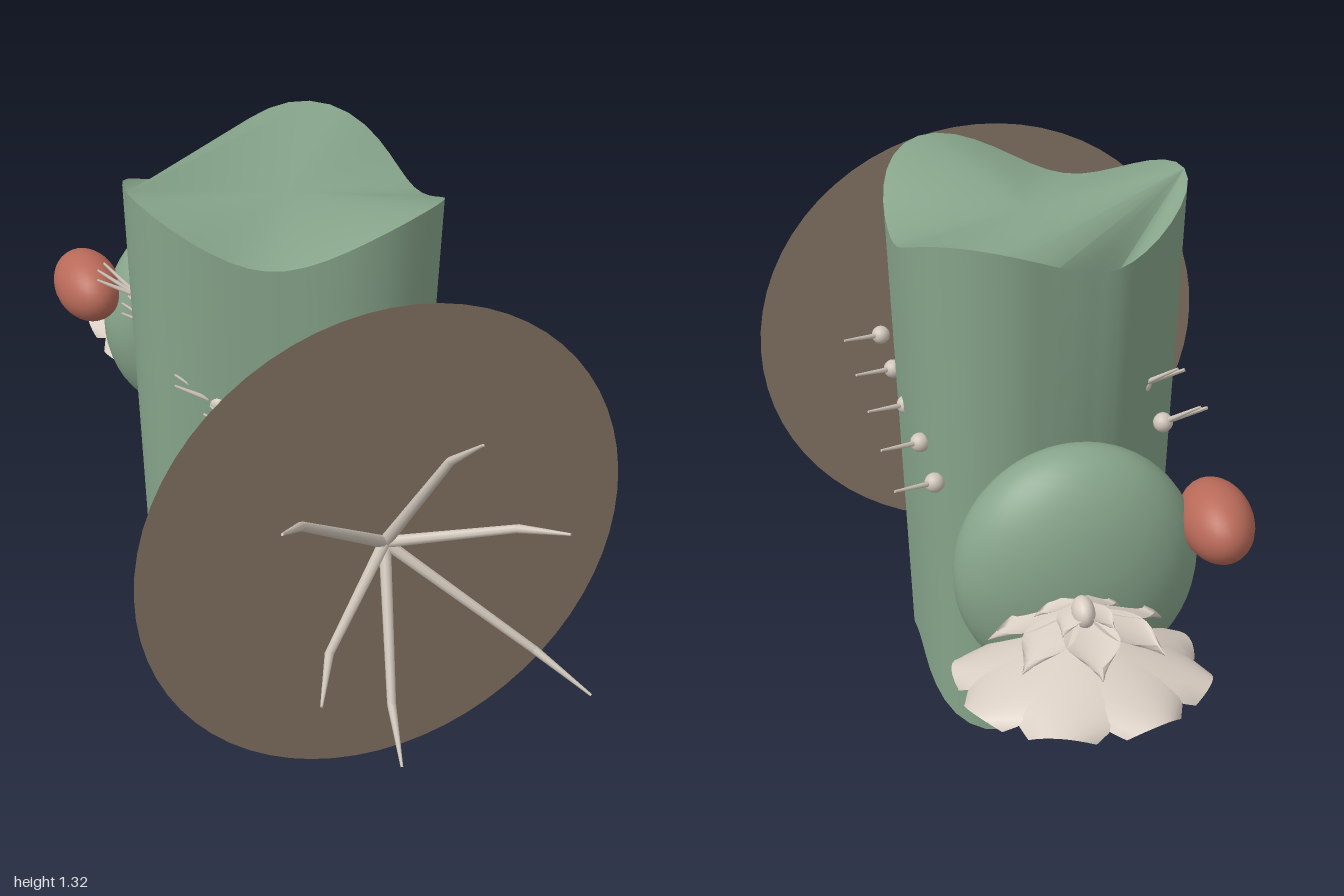
import * as THREE from 'three';
import { toCreasedNormals } from 'three/addons/utils/BufferGeometryUtils.js';

const mat = (name, color, side = THREE.FrontSide) => {
  const m = new THREE.MeshStandardMaterial({ color, side });
  m.name = name;
  return m;
};
const V = (x, y, z) => new THREE.Vector3(x, y, z);

export function createModel() {
  const green = mat('cactus green', 0x87a58b);
  const brown = mat('soil brown', 0x857565, THREE.DoubleSide);
  const bone = mat('spine cream', 0xcfc5b9);
  const petalMat = mat('petal cream', 0xd9cec3, THREE.DoubleSide);
  const red = mat('fruit red', 0xb96a59);

  const model = new THREE.Group();
  model.name = 'cactus';
  const add = (parent, name, geo, material, pos) => {
    const m = new THREE.Mesh(geo, material);
    m.name = name;
    if (pos) m.position.copy(pos);
    parent.add(m);
    return m;
  };

  // Trunk: three-lobed column whose rims rise and dip with the lobes
  const N = 48, tris = [];
  const tri = (a, b, c) => [a, b, c].forEach(p => tris.push(p.x, p.y, p.z));
  const rim = (i, top) => {
    const a = (i / N) * Math.PI * 2, c3 = Math.cos(3 * a);
    const r = (0.347 - 0.032 * c3) * (top ? 1 : 0.87);
    return V(r * Math.cos(a), top ? 1.265 - 0.053 * c3 : 0.053 + 0.053 * c3, 0.075 + r * Math.sin(a));
  };
  const topC = V(0, 1.255, 0.075), botC = V(0, 0.035, 0.075);
  const left = rim(N / 2, true), back = rim(N * 5 / 6, true);
  for (let i = 0; i < N; i++) {
    const a = rim(i, false), b = rim(i, true), c = rim(i + 1, false), d = rim(i + 1, true);
    tri(a, b, c);
    tri(b, d, c);
    tri(botC, a, c);
    // the crown is bridged straight across from one side lobe to the back lobe
    const bridged = i >= N / 2 && i < N * 5 / 6;
    if (!bridged) tri(topC, d, b);
    else if (i > N / 2) tri(left, d, b);
  }
  tri(topC, back, left);
  const trunk = new THREE.BufferGeometry();
  trunk.setAttribute('position', new THREE.Float32BufferAttribute(tris, 3));
  add(model, 'trunk', toCreasedNormals(trunk, 0.85), green);

  // Flat soil disc standing in front
  add(model, 'soilDisc', new THREE.CircleGeometry(0.577, 64), brown, V(0, 0.66, 0.64));

  // Tapered rod between two points
  const rod = (parent, name, a, b, r0, r1) => {
    const dir = b.clone().sub(a);
    const m = add(parent, name, new THREE.CylinderGeometry(r1, r0, dir.length(), 8), bone,
      a.clone().add(b).multiplyScalar(0.5));
    m.quaternion.setFromUnitVectors(V(0, 1, 0), dir.normalize());
  };

  // Large bent spines radiating from the disc centre
  const spines = new THREE.Group();
  spines.name = 'largeSpines';
  model.add(spines);
  const hub = V(0, 0.66, 0.64);
  [[0.07, 1.06, 0.94], [-0.375, 0.975, 0.97], [0.305, 0.77, 0.91],
    [-0.3, 0.555, 1.0], [0.37, 0.35, 0.94], [-0.07, 0.26, 0.91]].forEach(p => {
    const tip = V(...p);
    const knee = V(tip.x * 0.76, 0.66 + (tip.y - 0.66) * 0.76, 0.64 + (tip.z - 0.64) * 0.64);
    rod(spines, 'spineBase', hub, knee, 0.014, 0.01);
    rod(spines, 'spineTip', knee, tip, 0.01, 0.003);
  });
  add(spines, 'spineHub', new THREE.SphereGeometry(0.014, 12, 8), bone, hub);

  // Three rows of beads, each bead with a tuft of small spines
  const rows = [
    { x: 0.29, y: 0.77, dir: V(0.1, 0.025, -0.06), spread: [V(0, 0, 0)] },
    { x: -0.24, y: 0.86, dir: V(-0.085, 0.06, -0.058), spread: [V(0, 0, 0), V(0.02, 0.01, -0.012), V(-0.008, -0.015, 0.022)] },
    { x: -0.06, y: 0.355, dir: V(0, -0.09, -0.06), spread: [V(0, 0, 0), V(0.016, 0.015, -0.012), V(-0.016, -0.005, 0.014)] },
  ];
  rows.forEach(({ x, y, dir, spread }) => {
    for (let k = 0; k < 5; k++) {
      const tuft = new THREE.Group();
      tuft.name = 'areole';
      tuft.position.set(x, y, 0.45 - k * 0.185);
      model.add(tuft);
      add(tuft, 'bead', new THREE.SphereGeometry(0.023, 16, 12), bone);
      spread.forEach(s => rod(tuft, 'smallSpine', V(0, 0, 0), dir.clone().add(s), 0.007, 0.003));
    }
  });

  // Oval pad and fruit behind the trunk
  add(model, 'pad', new THREE.SphereGeometry(1, 40, 28), green, V(0.02, 0.665, -0.525)).scale.set(0.275, 0.296, 0.15);
  add(model, 'fruit', new THREE.SphereGeometry(1, 28, 20), red, V(-0.285, 0.765, -0.575)).scale.set(0.08, 0.085, 0.125);

  // Flower: drooping outer petals, raised inner petals and a central bulb
  const flower = new THREE.Group();
  flower.name = 'flower';
  flower.position.set(0.055, 0.6, -0.72);
  flower.rotation.x = 0.12;
  model.add(flower);
  const petal = (length, width, y0, y1, cup, blunt) => {
    const g = new THREE.PlaneGeometry(1, 1, 8, 10), p = g.attributes.position;
    for (let i = 0; i < p.count; i++) {
      const u = p.getX(i) * 2, v = p.getY(i) + 0.5;
      const w = width * Math.sin(Math.PI * (0.06 + blunt * Math.pow(v, 1.3)));
      const reach = length * v * (1 - 0.1 * u * u * v);
      p.setXYZ(i, u * w, y0 + (y1 - y0) * Math.pow(v, 1.3) + cup * u * u * v, -reach);
    }
    g.computeVertexNormals();
    return g;
  };
  const ring = (name, count, offset, geo) => {
    for (let k = 0; k < count; k++) {
      add(flower, name, geo, petalMat).rotation.y = ((k + offset) / count) * Math.PI * 2;
    }
  };
  ring('outerPetal', 8, 0.5, petal(0.285, 0.112, 0.015, -0.08, -0.025, 0.72));
  ring('innerPetal', 7, 0, petal(0.2, 0.06, 0.07, 0.0, 0.025, 0.92));
  ring('heartPetal', 5, 0.5, petal(0.1, 0.03, 0.09, 0.05, 0.015, 0.92));
  add(flower, 'bulb', new THREE.SphereGeometry(1, 16, 12), petalMat, V(0, 0.08, -0.03)).scale.set(0.025, 0.035, 0.04);

  return model;
}
